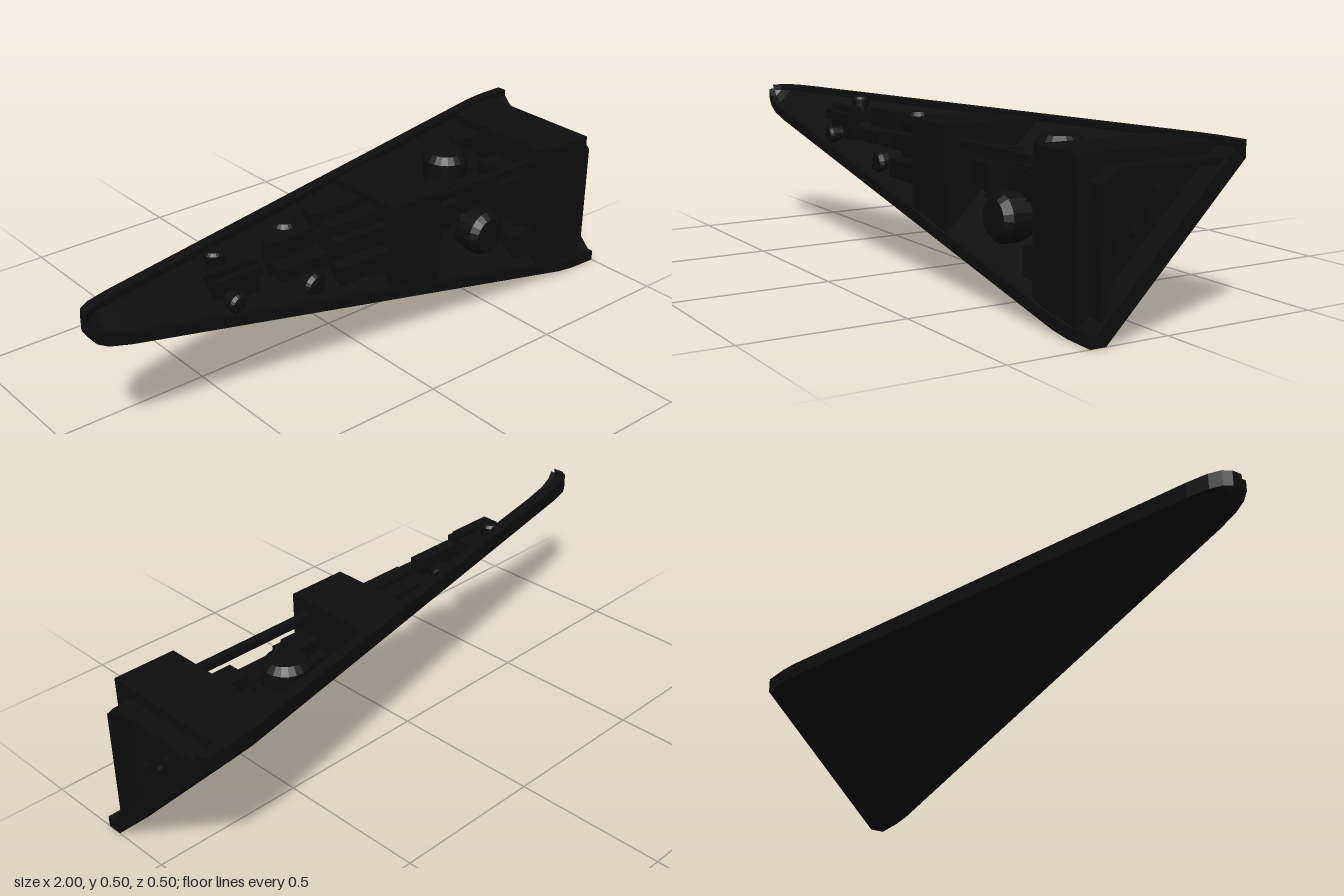
import * as THREE from 'three';

const black = new THREE.MeshStandardMaterial({ color: 0x0e0e0e });
black.name = 'hull black';

// Height of the hull's lower edge along its length, as [x, y]
const EDGE = [[-1, 0.45], [-0.985, 0.425], [-0.95, 0.404], [-0.88, 0.384], [0.83, 0.012], [0.9, 0.003], [1, 0]];

function low(x) {
  for (let i = 1; i < EDGE.length; i++) {
    const [x0, y0] = EDGE[i - 1], [x1, y1] = EDGE[i];
    if (x <= x1) return y0 + (y1 - y0) * (x - x0) / (x1 - x0);
  }
  return 0;
}

// Joins [z, y] cross-sections along rising x; caps lists the end polygons
function loft(xs, section, caps) {
  const rings = xs.map(x => section(x).map(([z, y]) => [x, y, z]));
  const pos = [];
  const face = pts => {
    for (let i = 1; i < pts.length - 1; i++) pos.push(...pts[0], ...pts[i], ...pts[i + 1]);
  };
  for (let i = 0; i < rings.length - 1; i++) {
    const a = rings[i], b = rings[i + 1];
    a.forEach((p, j) => {
      const k = (j + 1) % a.length;
      face([p, a[k], b[k], b[j]]);
    });
  }
  const first = rings[0], last = rings[rings.length - 1];
  for (const cap of caps) {
    face(cap.map(j => last[j]));
    face(cap.map(j => first[j]).reverse());
  }
  const g = new THREE.BufferGeometry();
  g.setAttribute('position', new THREE.Float32BufferAttribute(pos, 3));
  g.computeVertexNormals();
  return g;
}

export function createModel() {
  const model = new THREE.Group();
  const add = (name, geometry) => {
    const mesh = new THREE.Mesh(geometry, black);
    mesh.name = name;
    model.add(mesh);
    return mesh;
  };

  // Tapered diagonal hull plate with a raised rim
  add('hullPlate', loft(EDGE.map(e => e[0]), x => {
    const lo = low(x);
    return [[0.25, lo], [0.2, lo], [lo - 0.25, 0.45], [lo - 0.25, 0.5],
      [lo - 0.215, 0.5], [lo - 0.215, 0.48], [0.23, lo + 0.035], [0.25, lo + 0.035]];
  }, [[0, 1, 6, 7], [1, 2, 5, 6], [2, 3, 4, 5]]));

  // Two large bulkheads filling the inner corner
  for (const [name, xs] of [['middleBulkhead', [0.06, 0.26]], ['endBulkhead', [0.72, 0.83, 0.925]]]) {
    add(name, loft(xs, x => {
      const lo = low(x);
      return [[0.24, lo + 0.01], [lo - 0.24, 0.49], [0.24, 0.49]];
    }, [[0, 1, 2]]));
  }

  // Thin chamfered frame around the recessed end
  add('endFrame', loft([0.92, 0.985], () => [
    [0.205, 0.03], [0.185, 0.05], [0.185, 0.4], [0.15, 0.435],
    [-0.2, 0.435], [-0.22, 0.455], [0.165, 0.455], [0.205, 0.415],
  ], [[0, 1, 2, 7], [2, 3, 6, 7], [3, 4, 5, 6]]));

  // Small fittings on the recessed end wall, as [z, y, width, height]
  for (const [z, y, w, h] of [[0.125, 0.4, 0.02, 0.02], [-0.02, 0.37, 0.04, 0.03],
    [0.12, 0.235, 0.025, 0.045], [0.02, 0.31, 0.02, 0.04]]) {
    add('endFitting', new THREE.BoxGeometry(0.02, h, w)).position.set(0.93, y, z);
  }
  for (const [z, y] of [[0.15, 0.375], [0.06, 0.27]]) {
    const knob = add('endKnob', new THREE.CylinderGeometry(0.013, 0.013, 0.02, 16));
    knob.rotation.z = Math.PI / 2;
    knob.position.set(0.93, y, z);
  }

  // Slim beam between the bulkheads
  add('connectingBeam', new THREE.BoxGeometry(0.48, 0.025, 0.025)).position.set(0.49, 0.432, 0.182);

  // Fittings rise from the plate to the top and, mirrored, to the front
  const bottom = (x, v, w, d) => low(x) + 0.21 - v + d / 2 + 0.107 * w;
  const blocks = [
    [-0.03, 0.06, 0.2, 0.06, 0.47], [-0.03, 0.145, 0.2, 0.055, 0.46],
    [-0.27, 0.145, 0.17, 0.04, 0.475], [-0.5, 0.185, 0.16, 0.03, 0.47],
    [0.36, 0.1, 0.085, 0.08, 0.43], [0.52, 0.1, 0.12, 0.08, 0.4],
    [0.64, 0.1, 0.085, 0.08, 0.43], [0.68, -0.1, 0.1, 0.09, 0.46],
  ];
  for (const [x, v, w, d, top] of blocks) {
    const base = bottom(x, v, w, d), h = top - base, mid = base + h / 2;
    add('topBlock', new THREE.BoxGeometry(w, h, d)).position.set(x, mid, v);
    add('frontBlock', new THREE.BoxGeometry(w, d, h)).position.set(x, v + 0.25, mid - 0.25);
  }

  // Round turrets with a bevelled cap, as [x, offset, radius, top]
  for (const [x, v, r, top] of [[0.5, 0, 0.075, 0.475], [-0.22, 0.06, 0.04, 0.47], [-0.52, 0.12, 0.03, 0.495]]) {
    const base = bottom(x, v, 2 * r, 2 * r);
    const profile = [[0, base], [r, base], [r, top - r * 0.3], [r * 0.75, top], [0, top]];
    const points = profile.map(p => new THREE.Vector2(...p));
    const shape = new THREE.LatheGeometry(points, 20).toNonIndexed();
    shape.computeVertexNormals();
    add('topTurret', shape).position.set(x, 0, v);
    const front = add('frontTurret', shape);
    front.rotation.x = Math.PI / 2;
    front.position.set(x, v + 0.25, -0.25);
  }

  return model;
}
